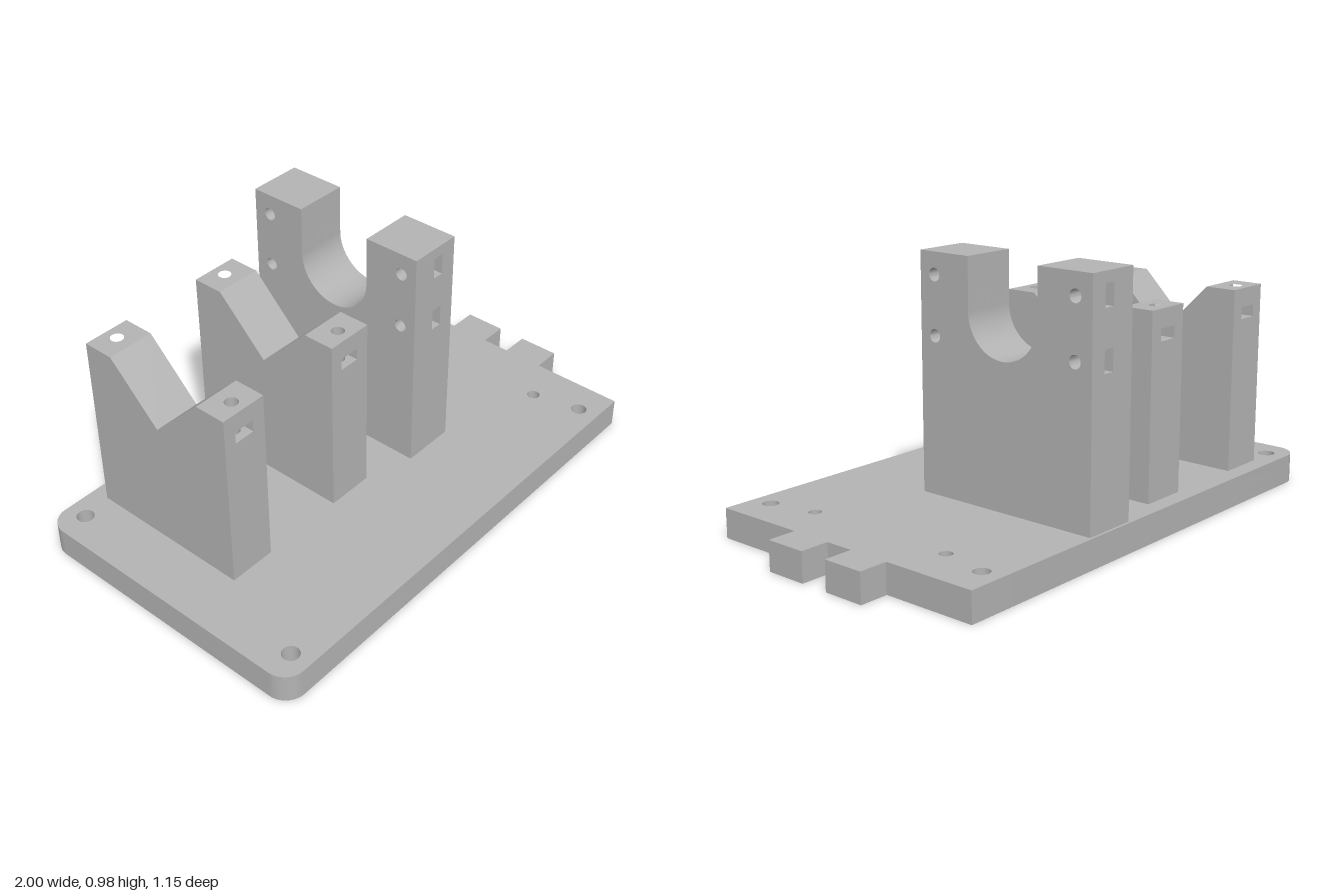
import * as THREE from 'three';
import { toCreasedNormals } from 'three/addons/utils/BufferGeometryUtils.js';

export function createModel() {
  const model = new THREE.Group();
  const grey = new THREE.MeshStandardMaterial({ color: 0xb3b3b3 });
  grey.name = 'plain grey';

  const polygon = (points) => new THREE.Shape(points.map(([u, v]) => new THREE.Vector2(u, v)));

  function addHole(shape, u, v, r, sides = 24) {
    const path = new THREE.Path();
    for (let i = 0; i < sides; i++) {
      const a = (-i / sides) * Math.PI * 2;
      const p = [u + r * Math.cos(a), v + r * Math.sin(a)];
      if (i === 0) path.moveTo(...p); else path.lineTo(...p);
    }
    path.closePath();
    shape.holes.push(path);
  }

  function addMesh(parent, name, shape, from, to, rotate) {
    let geo = new THREE.ExtrudeGeometry(shape, { depth: to - from, bevelEnabled: false, curveSegments: 24 });
    geo.translate(0, 0, from);
    rotate(geo);
    geo = toCreasedNormals(geo, 0.5);
    const mesh = new THREE.Mesh(geo, grey);
    mesh.name = name;
    parent.add(mesh);
  }
  // Plan shapes use (x, -z); side shapes use (-z, y)
  const layer = (parent, name, shape, y0, y1) => addMesh(parent, name, shape, y0, y1, (g) => g.rotateX(-Math.PI / 2));
  const slice = (parent, name, shape, x0, x1) => addMesh(parent, name, shape, x0, x1, (g) => g.rotateY(Math.PI / 2));

  // Base plate: rounded left corners, two tabs, round holes with nut pockets underneath
  const TOP = 0.11;
  const base = new THREE.Group();
  base.name = 'basePlate';
  model.add(base);
  function basePlan(innerRadius, innerSides) {
    const w = 0.575, r = 0.08, e = 0.89;
    const s = new THREE.Shape();
    s.moveTo(-1 + r, -w);
    s.lineTo(e, -w);
    for (const [a, b] of [[-0.215, -0.055], [0.055, 0.215]]) {
      s.lineTo(e, a);
      s.lineTo(1, a);
      s.lineTo(1, b);
      s.lineTo(e, b);
    }
    s.lineTo(e, w);
    s.lineTo(-1 + r, w);
    s.absarc(-1 + r, w - r, r, Math.PI / 2, Math.PI, false);
    s.lineTo(-1, -w + r);
    s.absarc(-1 + r, -w + r, r, Math.PI, Math.PI * 1.5, false);
    for (const side of [-1, 1]) {
      addHole(s, -0.895, side * 0.495, 0.032);
      addHole(s, 0.757, side * 0.495, 0.03);
      addHole(s, 0.718, side * 0.308, innerRadius, innerSides);
    }
    return s;
  }
  layer(base, 'baseLower', basePlan(0.045, 6), 0, 0.05);
  layer(base, 'baseUpper', basePlan(0.024, 24), 0.05, TOP);

  // V cradles: grooved middle between two posts with screw holes and nut slots
  function vCradle(name, x0, x1) {
    const g = new THREE.Group();
    g.name = name;
    model.add(g);
    const height = 0.795, cx = (x0 + x1) / 2;
    slice(g, 'grooveBlock', polygon([
      [-0.01, TOP], [0.39, TOP], [0.39, height], [0.19, 0.595], [-0.01, height],
    ]), x0, x1);
    // Each post: outer and inner edge, and direction from outside to inside
    for (const [outer, inner, dir] of [[-0.13, -0.01, 1], [0.51, 0.39, -1]]) {
      const rect = () => polygon([[x0, outer], [x1, outer], [x1, inner], [x0, inner]]);
      const holed = () => {
        const s = rect();
        addHole(s, cx, outer + dir * 0.053, 0.024);
        return s;
      };
      const end = outer + dir * 0.095;
      const a = cx - 0.042, b = cx + 0.038;
      layer(g, 'postFoot', rect(), TOP, 0.62);
      layer(g, 'postBore', holed(), 0.62, 0.68);
      layer(g, 'postNutSlot', polygon([
        [x0, outer], [a, outer], [a, end], [b, end], [b, outer], [x1, outer], [x1, inner], [x0, inner],
      ]), 0.68, 0.725);
      layer(g, 'postTop', holed(), 0.725, height);
    }
  }
  vCradle('leftVCradle', -0.78, -0.6);
  vCradle('middleVCradle', -0.272, -0.09);

  // U cradle: round channel, cross holes, nut slots in the middle slice
  const cradle = new THREE.Group();
  cradle.name = 'uCradle';
  model.add(cradle);
  const slots = [[0.645, 0.725], [0.86, 0.94]];
  function uProfile(slotted) {
    const h = 0.98, u0 = -0.185, u1 = 0.565, depth = 0.105;
    const s = new THREE.Shape();
    s.moveTo(u0, TOP);
    s.lineTo(u1, TOP);
    if (slotted) for (const [a, b] of slots) {
      s.lineTo(u1, a);
      s.lineTo(u1 - depth, a);
      s.lineTo(u1 - depth, b);
      s.lineTo(u1, b);
    }
    s.lineTo(u1, h);
    s.lineTo(0.34, h);
    s.lineTo(0.34, 0.7925);
    s.absarc(0.1875, 0.7925, 0.1525, 0, -Math.PI, true);
    s.lineTo(0.035, h);
    s.lineTo(u0, h);
    if (slotted) for (const [a, b] of [...slots].reverse()) {
      s.lineTo(u0, b);
      s.lineTo(u0 + depth, b);
      s.lineTo(u0 + depth, a);
      s.lineTo(u0, a);
    }
    if (!slotted) for (const u of [-0.121, 0.495]) for (const y of [0.686, 0.9]) addHole(s, u, y, 0.024);
    return s;
  }
  slice(cradle, 'cradleLeftSlice', uProfile(false), 0.1, 0.2);
  slice(cradle, 'cradleSlotSlice', uProfile(true), 0.2, 0.245);
  slice(cradle, 'cradleRightSlice', uProfile(false), 0.245, 0.31);

  return model;
}
